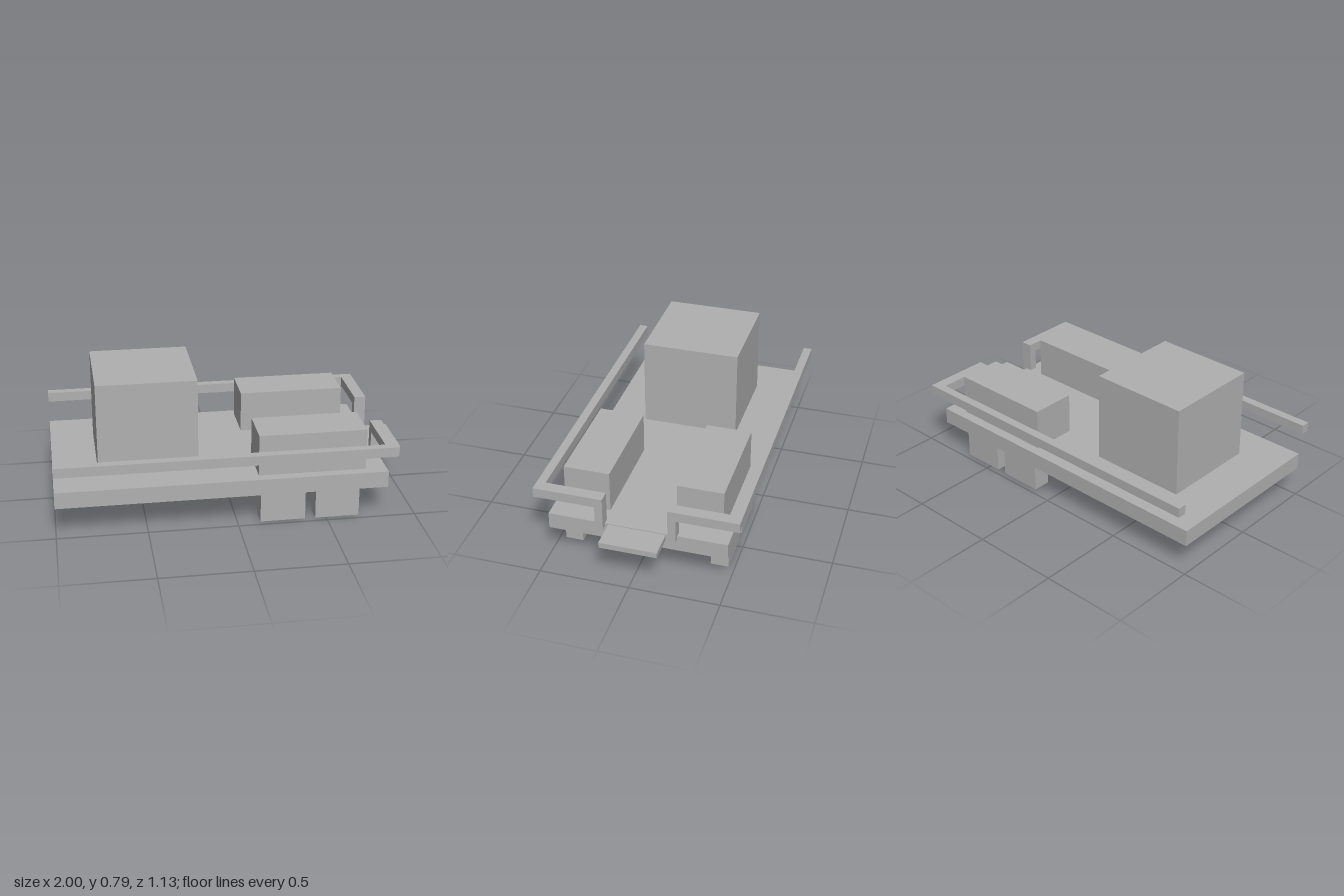
import * as THREE from 'three';

export function createModel() {
  const model = new THREE.Group();
  model.name = 'flatVehicle';
  const grey = new THREE.MeshStandardMaterial({ color: 0xb0b0b0 });
  grey.name = 'plain grey';

  // Adds a box given its extents along each axis.
  function block(name, [x0, x1], [y0, y1], [z0, z1], parent = model) {
    const mesh = new THREE.Mesh(new THREE.BoxGeometry(x1 - x0, y1 - y0, z1 - z0), grey);
    mesh.position.set((x0 + x1) / 2, (y0 + y1) / 2, (z0 + z1) / 2);
    mesh.name = name;
    parent.add(mesh);
  }

  // Adds the same box on both sides of the deck.
  function pair(name, x, y, [z0, z1], parent = model) {
    block(name + 'Front', x, y, [z0, z1], parent);
    block(name + 'Back', x, y, [-z1, -z0], parent);
  }

  // Deck, cabin and end step
  block('deck', [-1, 0.84], [0.178, 0.272], [-0.497, 0.497]);
  block('cabin', [-0.75, -0.193], [0.272, 0.785], [-0.277, 0.277]);
  block('step', [0.84, 1], [0.235, 0.267], [-0.159, 0.159]);

  // Long hoods on the deck
  pair('hood', [0.12, 0.722], [0.272, 0.508], [0.186, 0.442]);

  // Two wheel blocks on each side
  pair('innerWheel', [0.128, 0.38], [0, 0.178], [0.366, 0.466]);
  pair('outerWheel', [0.438, 0.686], [0, 0.178], [0.366, 0.466]);

  // Handrails: side bar, bar across the end, and post down to the step
  const rails = new THREE.Group();
  rails.name = 'handrails';
  pair('sideRail', [-1, 0.805], [0.391, 0.446], [0.515, 0.564], rails);
  pair('endRail', [0.805, 0.872], [0.391, 0.446], [0.178, 0.564], rails);
  pair('railPost', [0.805, 0.872], [0.253, 0.391], [0.178, 0.222], rails);
  model.add(rails);

  return model;
}
